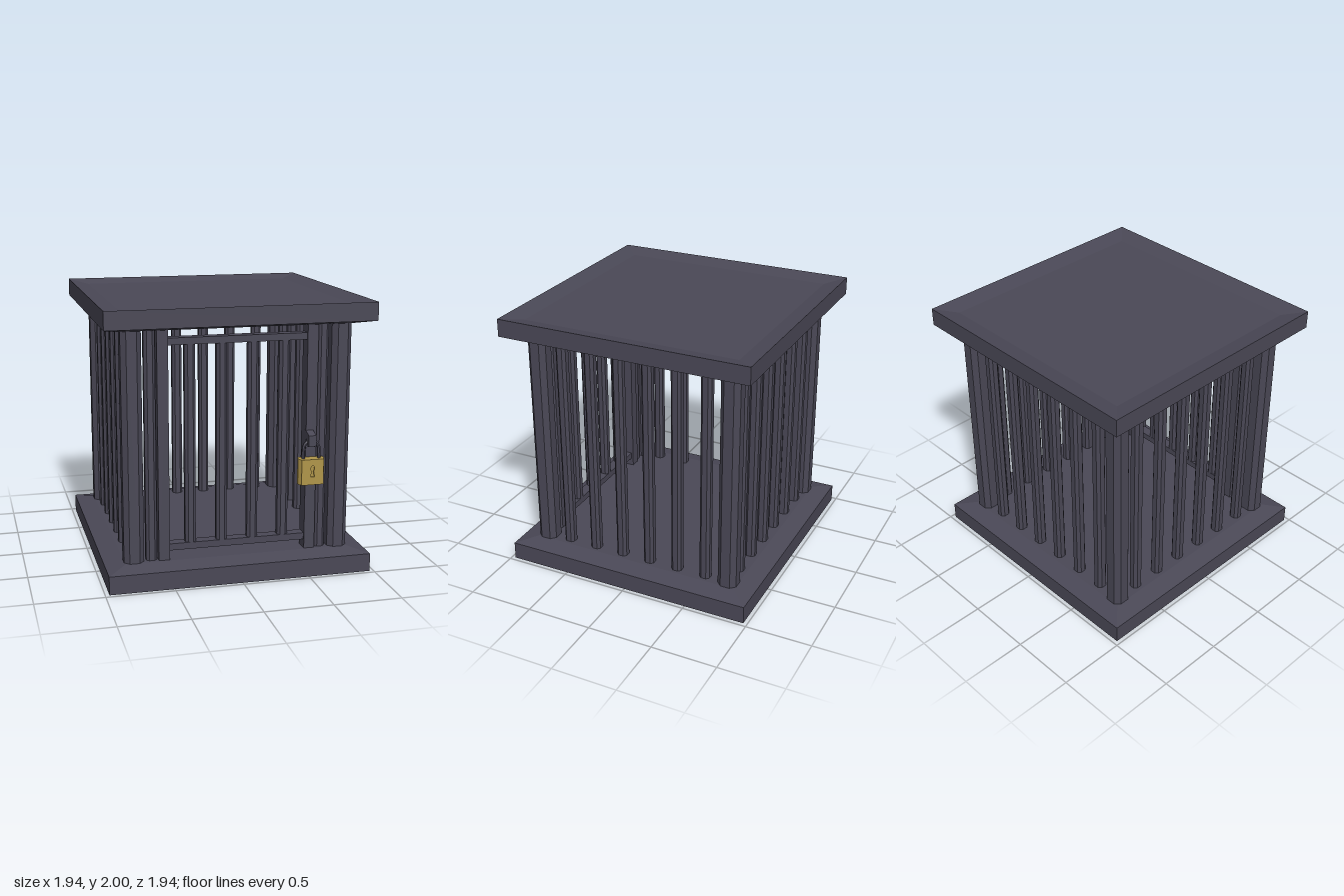
import * as THREE from 'three';

const mat = (name, color) => {
  const m = new THREE.MeshStandardMaterial({ color });
  m.name = name;
  m.flatShading = true;
  return m;
};

export function createModel() {
  const cage = new THREE.Group();
  cage.name = 'cage';
  const iron = mat('dark iron', 0x4a4856);
  const brass = mat('brass', 0xb0964a);

  const add = (name, geo, material, x = 0, y = 0, z = 0, parent = cage) => {
    const mesh = new THREE.Mesh(geo, material);
    mesh.name = name;
    mesh.position.set(x, y, z);
    parent.add(mesh);
    return mesh;
  };
  const box = (w, h, d) => new THREE.BoxGeometry(w, h, d);

  // Upright prism on a rectangle with cut corners, base at y = 0
  const prism = (w, d, h, cx, cz = cx) => {
    const a = w / 2, b = d / 2;
    const pts = [[a - cx, -b], [a, cz - b], [a, b - cz], [a - cx, b],
      [cx - a, b], [-a, b - cz], [-a, cz - b], [cx - a, -b]];
    const shape = new THREE.Shape(pts.map(p => new THREE.Vector2(...p)));
    return new THREE.ExtrudeGeometry(shape, { depth: h, bevelEnabled: false }).rotateX(-Math.PI / 2);
  };

  // Square slabs: sloped rim on the inner side, shallow dish on the outer side
  const slab = profile => new THREE.LatheGeometry(
    profile.map(([r, y]) => new THREE.Vector2(r * Math.SQRT2, y)), 4, Math.PI / 4);
  add('floorSlab', slab([[0, 0.03], [0.83, 0.03], [0.97, 0], [0.97, 0.135], [0.83, 0.165], [0, 0.165]]), iron);
  add('roofSlab', slab([[0, 1.835], [0.83, 1.835], [0.97, 1.867], [0.97, 2], [0.83, 1.97], [0, 1.97]]), iron);

  // Corner posts
  const low = 0.16, tall = 1.68, wall = 0.763;
  const postGeo = prism(0.146, 0.146, tall, 0.036);
  for (const x of [-wall, wall])
    for (const z of [-wall, wall]) add('cornerPost', postGeo, iron, x, low, z);

  // Bars of the back and side walls
  const barGeo = prism(0.08, 0.08, tall, 0.02);
  for (const p of [-0.575, -0.345, -0.115, 0.115, 0.345, 0.575]) {
    add('backBar', barGeo, iron, p, low, -wall);
    add('leftBar', barGeo, iron, wall, low, p);
    add('rightBar', barGeo, iron, -wall, low, p);
  }
  for (const s of [-1, 1]) add('frontBar', barGeo, iron, s * 0.632, low, wall);

  // Door: stiles, rails and bars
  const door = new THREE.Group();
  door.name = 'door';
  cage.add(door);
  for (const s of [-1, 1]) add('doorStile', box(0.08, tall, 0.11), iron, s * 0.545, 1, wall, door);
  for (const y of [0.255, 1.75]) add('doorRail', box(1.02, 0.05, 0.08), iron, 0, y, wall, door);
  const doorBarGeo = prism(0.078, 0.078, 1.47, 0.02);
  for (const x of [-0.345, -0.115, 0.115, 0.345]) add('doorBar', doorBarGeo, iron, x, 0.265, wall, door);

  // Padlock body, with a front plate pierced by the keyhole
  const lock = new THREE.Group();
  lock.name = 'padlock';
  lock.position.set(0.535, 0.675, 0);
  cage.add(lock);
  add('lockBody', prism(0.19, 0.078, 0.19, 0.012, 0.02), brass, 0, 0, 0.847, lock);
  const face = new THREE.Shape([[-0.083, 0], [0.083, 0], [0.083, 0.19], [-0.083, 0.19]]
    .map(p => new THREE.Vector2(...p)));
  face.holes.push(new THREE.Path([[-0.015, 0.06], [-0.007, 0.1], [-0.015, 0.118], [-0.01, 0.138],
    [0, 0.145], [0.01, 0.138], [0.015, 0.118], [0.007, 0.1], [0.015, 0.06]]
    .map(p => new THREE.Vector2(...p))));
  add('keyholePlate', new THREE.ExtrudeGeometry(face, { depth: 0.01, bevelEnabled: false }),
    brass, 0, 0, 0.886, lock);

  // Shackle
  const path = new THREE.CurvePath();
  const v = (x, y) => new THREE.Vector3(x, y, 0);
  path.add(new THREE.LineCurve3(v(-0.058, 0.17), v(-0.058, 0.255)));
  path.add(new THREE.CubicBezierCurve3(v(-0.058, 0.255), v(-0.058, 0.342), v(0.058, 0.342), v(0.058, 0.255)));
  path.add(new THREE.LineCurve3(v(0.058, 0.255), v(0.058, 0.17)));
  add('shackle', new THREE.TubeGeometry(path, 24, 0.013, 6), iron, 0, 0, 0.85, lock);

  // Hook on the stile that carries the shackle; drawn in side view, then turned
  const hook = new THREE.Shape([[0.8, 1.07], [0.8, 1.01], [0.862, 0.995], [0.862, 0.95], [0.895, 0.96], [0.895, 1.042]]
    .map(p => new THREE.Vector2(...p)));
  const hookGeo = new THREE.ExtrudeGeometry(hook, { depth: 0.055, bevelEnabled: false })
    .translate(0, 0, -0.0275).rotateY(-Math.PI / 2);
  add('hook', hookGeo, iron, 0.53, 0, 0);

  return cage;
}
